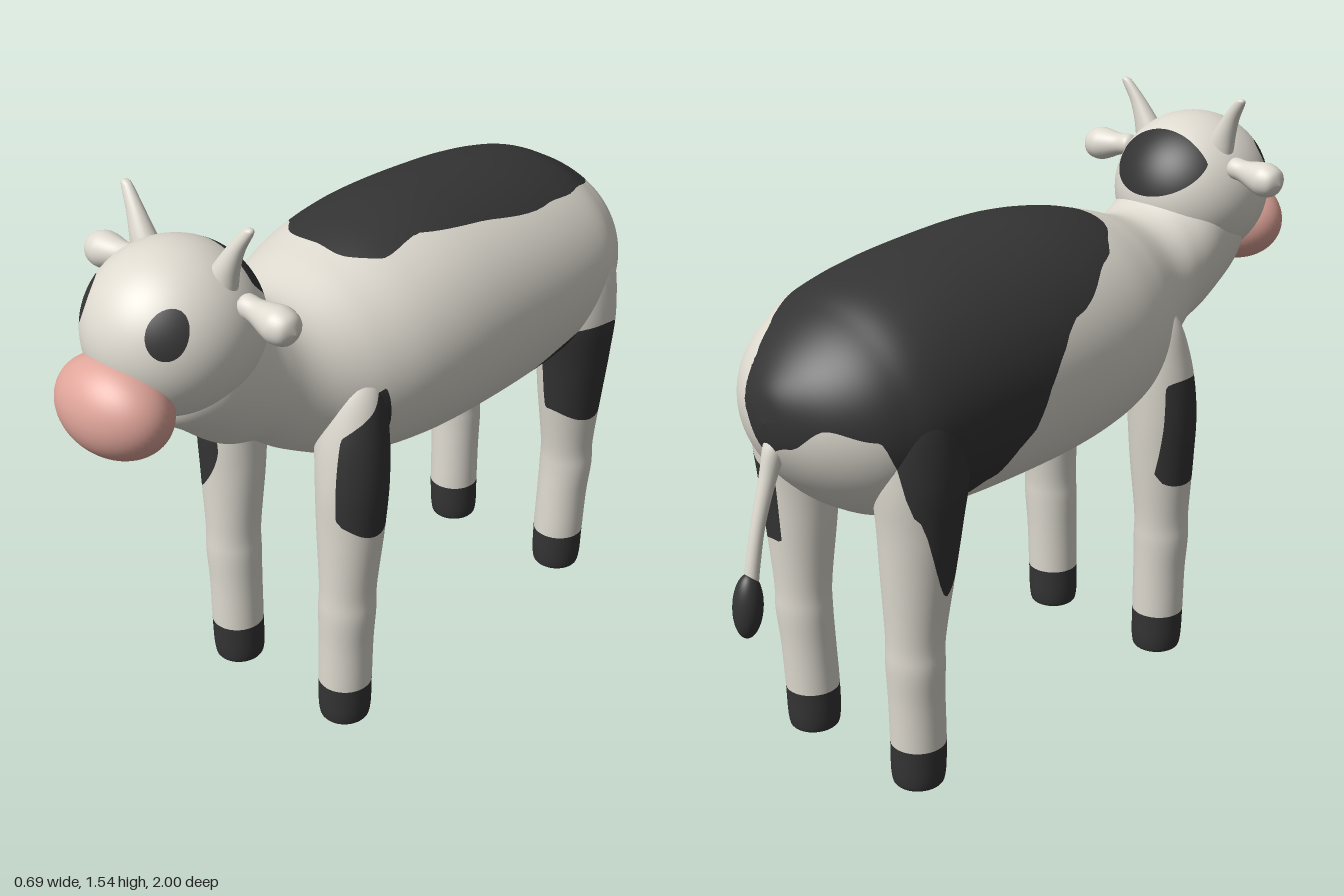
import * as THREE from 'three';

const material = (name, color) => Object.assign(new THREE.MeshStandardMaterial({ color }), { name });

// Smooth skin over elliptical rings; place(station, cos, sin) gives a point
function loft(stations, place, rows, sides) {
  const size = stations[0].length, last = stations.length - 1;
  const spline = new THREE.CubicInterpolant(stations.map((_, i) => i), stations.flat(), size, new Float32Array(size));
  const position = [], index = [];
  for (let i = 0; i <= rows; i++) {
    const station = [...spline.evaluate((i / rows) * last)];
    for (let j = 0; j < sides; j++) {
      const a = (j / sides) * Math.PI * 2;
      position.push(...place(station, Math.cos(a), Math.sin(a)));
      if (i === rows) continue;
      const p = i * sides + j, q = i * sides + (j + 1) % sides;
      index.push(p, q, p + sides, q, q + sides, p + sides);
    }
  }
  const g = new THREE.BufferGeometry();
  g.setAttribute('position', new THREE.Float32BufferAttribute(position, 3));
  g.setIndex(index);
  g.computeVertexNormals();
  return g;
}

// Rings stacked up y: [y, x, z, rx, rz]
const upright = ([y, x, z, rx, rz], c, s) =>
  [x + Math.max(rx, 0) * s, Math.max(y, 0), z + Math.max(rz, 0) * c];

function ellipsoid(x, y, z, rx, ry, rz, w = 48, h = 32) {
  return new THREE.SphereGeometry(1, w, h).scale(rx, ry, rz).translate(x, y, z);
}

// Cuts triangles where field = 0: group 0 is outside, group 1 inside
function splitByField(source, field) {
  const g = source.toNonIndexed(), P = g.attributes.position, N = g.attributes.normal;
  const out = [[], []];
  for (let t = 0; t < P.count; t += 3) {
    const tri = [0, 1, 2].map(k => {
      const p = new THREE.Vector3().fromBufferAttribute(P, t + k);
      return { p, n: new THREE.Vector3().fromBufferAttribute(N, t + k), f: field(p) };
    });
    for (const side of [0, 1]) {
      const poly = [];
      tri.forEach((a, k) => {
        const b = tri[(k + 1) % 3];
        if ((a.f > 0) === (side === 1)) poly.push(a);
        if ((a.f > 0) !== (b.f > 0)) {
          const m = a.f / (a.f - b.f);
          poly.push({ p: a.p.clone().lerp(b.p, m), n: a.n.clone().lerp(b.n, m).normalize() });
        }
      });
      for (let k = 1; k + 1 < poly.length; k++) out[side].push(poly[0], poly[k], poly[k + 1]);
    }
  }
  const all = [...out[0], ...out[1]], r = new THREE.BufferGeometry();
  r.setAttribute('position', new THREE.Float32BufferAttribute(all.flatMap(v => v.p.toArray()), 3));
  r.setAttribute('normal', new THREE.Float32BufferAttribute(all.flatMap(v => v.n.toArray()), 3));
  r.addGroup(0, out[0].length, 0);
  r.addGroup(out[0].length, out[1].length, 1);
  return r;
}

// Signed distance to a smooth closed outline, positive inside
function outline(points) {
  const curve = new THREE.CatmullRomCurve3(points.map(([u, v]) => new THREE.Vector3(u, v, 0)), true);
  const pts = curve.getPoints(48);
  return (u, v) => {
    let inside = false, best = Infinity;
    for (let i = 0; i < 48; i++) {
      const a = pts[i], b = pts[i + 1], dx = b.x - a.x, dy = b.y - a.y;
      const k = THREE.MathUtils.clamp(((u - a.x) * dx + (v - a.y) * dy) / (dx * dx + dy * dy), 0, 1);
      best = Math.min(best, Math.hypot(u - a.x - k * dx, v - a.y - k * dy));
      if ((a.y > v) !== (b.y > v) && u < a.x + ((v - a.y) / dy) * dx) inside = !inside;
    }
    return inside ? best : -best;
  };
}

// Saddle patch: reach from the top of the back, by heading (both in degrees)
const saddleEdge = [
  [-183, 102], [-169, 97], [-153, 87], [-137, 91], [-127, 120], [-120, 142], [-102, 125], [-95, 111], [-83, 78],
  [-75, 65], [-48, 53], [-32, 49], [0, 46], [18, 48], [31, 48], [41, 39], [70, 38], [112, 45], [130, 50],
  [152, 57], [161, 66], [165, 86], [177, 102], [191, 97],
];
function saddle(p) {
  const z = (p.z + 0.3) / 1.7;
  const heading = THREE.MathUtils.radToDeg(Math.atan2(p.x, z));
  const reach = THREE.MathUtils.radToDeg(Math.atan2(Math.hypot(p.x, z), p.y - 1));
  let i = 0;
  while (i < saddleEdge.length - 2 && saddleEdge[i + 1][0] < heading) i++;
  const [a, ra] = saddleEdge[i], [b, rb] = saddleEdge[i + 1];
  return (ra + (rb - ra) * THREE.MathUtils.smoothstep(heading, a, b) - reach) / 150;
}

// Leg patches: two outlined from the side (z, y), one from the front (x, y)
const thighPatch = outline([[-0.35, 0.76], [-0.4, 0.82], [-0.55, 0.86], [-0.66, 0.84], [-0.74, 0.72],
  [-0.7, 0.57], [-0.6, 0.535], [-0.52, 0.57], [-0.5, 0.66], [-0.43, 0.7]]);
const shoulderPatch = outline([[0.27, 1.01], [0.245, 0.93], [0.23, 0.8], [0.235, 0.67], [0.28, 0.62],
  [0.36, 0.62], [0.42, 0.68], [0.42, 0.8], [0.385, 0.9], [0.31, 0.965]]);
const forelegPatch = outline([[-0.34, 0.86], [-0.27, 0.84], [-0.2, 0.77], [-0.18, 0.7], [-0.22, 0.6],
  [-0.29, 0.54], [-0.42, 0.56], [-0.42, 0.82]]);
const coat = p => Math.max(
  saddle(p),
  Math.min(thighPatch(p.z, p.y), p.x - 0.19),
  Math.min(shoulderPatch(p.z, p.y), p.x - 0.238),
  Math.min(forelegPatch(p.x, p.y), p.z - 0.25));

// Eyes and the spot on the back of the head
function headMarks(p) {
  const dx = Math.abs(p.x) - 0.135, dy = p.y - 1.33, c = Math.cos(0.3), s = Math.sin(0.3);
  const eye = 1 - Math.hypot((dx * c + dy * s) / 0.033, (dy * c - dx * s) / 0.056);
  const spot = 1 - Math.hypot(p.x / 0.145, (p.y - 1.355) / 0.085);
  return p.z > 0.65 ? eye * 0.04 : Math.min(spot * 0.1, 0.575 - p.z);
}

export function createModel() {
  const model = new THREE.Group();
  model.name = 'cow';
  const white = material('whiteCoat', 0xdedad0), dark = material('darkPatch', 0x343434);
  const pink = material('pinkMuzzle', 0xe0a59a);
  const add = (name, geometry, mat) => {
    const mesh = new THREE.Mesh(geometry, mat);
    mesh.name = name;
    model.add(mesh);
  };

  // Body and neck: [z, top, bottom, half width]
  const body = loft([
    [-0.885, 1.01, 1.01, 0], [-0.872, 1.08, 0.94, 0.07], [-0.83, 1.14, 0.865, 0.16], [-0.77, 1.195, 0.795, 0.235],
    [-0.7, 1.24, 0.74, 0.285], [-0.6, 1.285, 0.695, 0.322], [-0.4, 1.32, 0.668, 0.34], [-0.1, 1.335, 0.667, 0.345],
    [0.1, 1.315, 0.685, 0.328], [0.25, 1.275, 0.72, 0.285], [0.4, 1.23, 0.795, 0.21], [0.5, 1.27, 0.865, 0.185],
    [0.6, 1.36, 0.9, 0.185], [0.7, 1.32, 0.98, 0.175], [0.77, 1.22, 1.04, 0.11], [0.79, 1.13, 1.13, 0],
  ], ([z, top, bottom, w], c, s) =>
    [Math.max(w, 0) * c, (top + bottom) / 2 + (top - bottom) / 2 * s, z], 112, 88);
  add('body', splitByField(body, coat), [white, dark]);

  // Head and muzzle
  add('head', splitByField(ellipsoid(0, 1.255, 0.69, 0.212, 0.21, 0.222, 112, 80), headMarks), [white, dark]);
  add('muzzle', ellipsoid(0, 1.125, 0.885, 0.162, 0.124, 0.115), pink);

  const hoof = z => [
    [0, 0.2, z, 0, 0], [0, 0.2, z, 0.055, 0.055], [0.025, 0.2, z, 0.069, 0.069],
    [0.12, 0.202, z, 0.072, 0.071],
  ];
  const frontLeg = [...hoof(0.34),
    [0.25, 0.205, 0.338, 0.073, 0.072], [0.35, 0.209, 0.337, 0.077, 0.075], [0.43, 0.21, 0.334, 0.076, 0.075],
    [0.6, 0.212, 0.325, 0.09, 0.085], [0.75, 0.213, 0.318, 0.096, 0.093], [0.9, 0.2, 0.305, 0.095, 0.088],
    [1.02, 0.18, 0.29, 0.08, 0.06], [1.08, 0.16, 0.28, 0, 0]];
  const rearLeg = [...hoof(-0.61),
    [0.25, 0.205, -0.615, 0.073, 0.071], [0.35, 0.209, -0.62, 0.077, 0.073], [0.43, 0.21, -0.618, 0.076, 0.075],
    [0.6, 0.215, -0.61, 0.092, 0.093], [0.73, 0.22, -0.605, 0.103, 0.107], [0.87, 0.22, -0.6, 0.113, 0.125],
    [1.02, 0.2, -0.6, 0.115, 0.12], [1.12, 0.17, -0.59, 0.09, 0.08], [1.15, 0.15, -0.59, 0, 0]];

  for (const [side, s] of [['left', 1], ['right', -1]]) {
    const mirrored = rings => rings.map(([y, x, ...rest]) => [y, x * s, ...rest]);

    // Legs with dark hooves
    for (const [name, rings] of [['FrontLeg', frontLeg], ['RearLeg', rearLeg]]) {
      const leg = loft(mirrored(rings), upright, 72, 44);
      add(side + name, splitByField(leg, p => Math.max(0.12 - p.y, coat(p))), [white, dark]);
    }

    // Horns
    add(side + 'Horn', loft(mirrored([
      [1.38, 0.115, 0.65, 0.05, 0.036], [1.43, 0.137, 0.648, 0.036, 0.029], [1.48, 0.163, 0.643, 0.025, 0.02],
      [1.525, 0.193, 0.636, 0.018, 0.013], [1.538, 0.201, 0.634, 0.011, 0.009], [1.542, 0.203, 0.634, 0, 0],
    ]), upright, 24, 24), white);

    // Ears: rounded paddles narrowing to the root
    const ear = new THREE.LatheGeometry(new THREE.SplineCurve([
      [0, -0.1], [0.027, -0.085], [0.03, -0.045], [0.042, 0], [0.046, 0.03], [0.034, 0.062], [0, 0.077],
    ].map(([r, y]) => new THREE.Vector2(r, y))).getPoints(28).map(v => v.setX(Math.max(v.x, 0))), 32);
    ear.rotateZ(-s * (Math.PI / 2 + 0.14)).translate(s * 0.265, 1.338, 0.638);
    add(side + 'Ear', ear, white);
  }

  // Tail and tuft
  add('tail', loft([
    [0.6, 0, -0.952, 0.019, 0.018], [0.68, 0, -0.937, 0.018, 0.018], [0.77, 0, -0.915, 0.018, 0.018],
    [0.88, 0, -0.877, 0.022, 0.024], [0.95, 0, -0.848, 0.03, 0.034], [1, 0, -0.82, 0.035, 0.03],
  ], upright, 30, 24), white);
  add('tailTuft', ellipsoid(0, 0, 0, 0.037, 0.083, 0.037).rotateX(0.1).translate(0, 0.565, -0.962), dark);

  return model;
}
